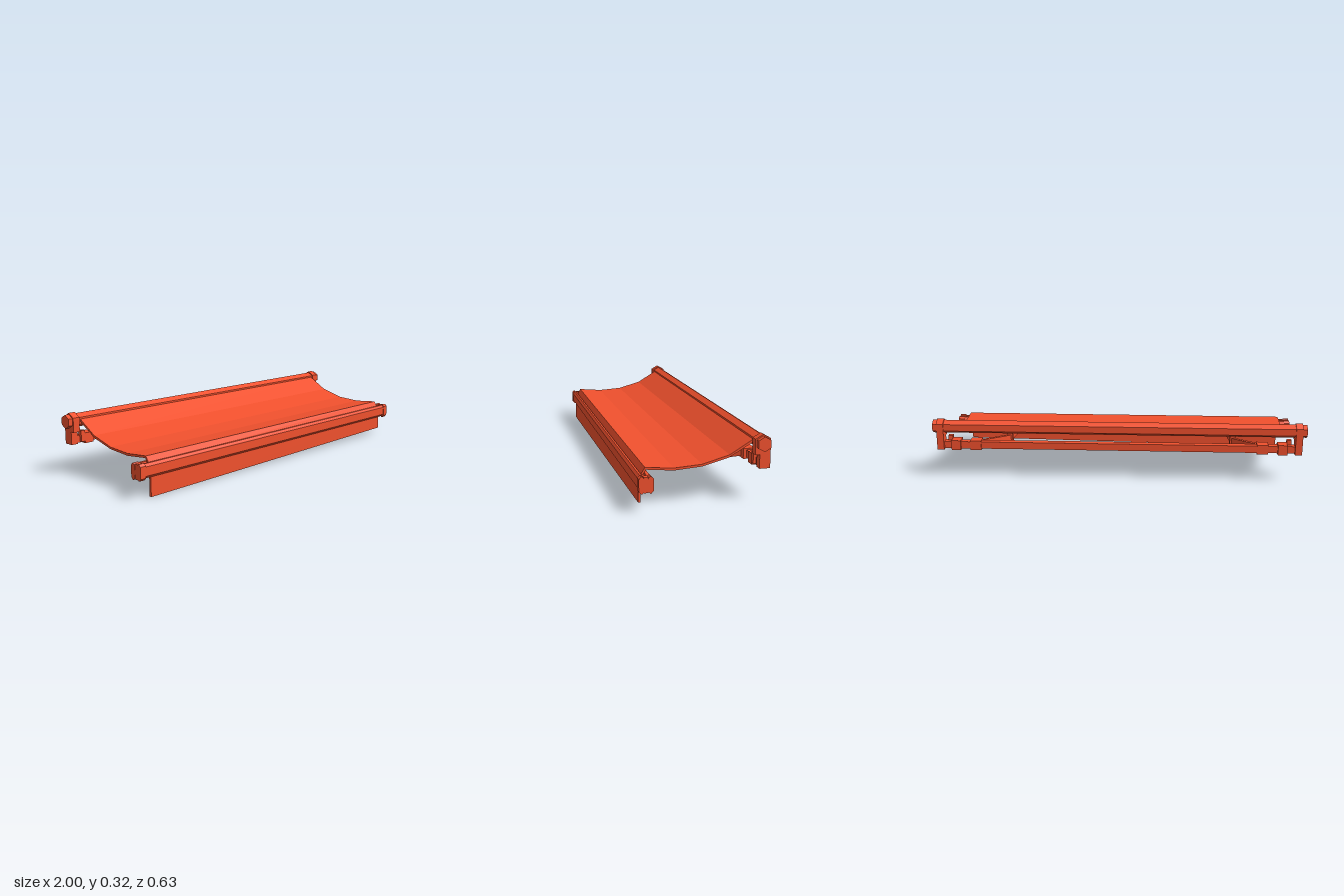
import * as THREE from 'three';

const material = new THREE.MeshStandardMaterial({ color: 0xf0502d, flatShading: true });

// Extrudes a [z, y] outline along x between x0 and x1
function profile(name, points, x0, x1) {
  const shape = new THREE.Shape(points.map(([z, y]) => new THREE.Vector2(-z, y)));
  const geometry = new THREE.ExtrudeGeometry(shape, { depth: x1 - x0, bevelEnabled: false });
  geometry.rotateY(Math.PI / 2).translate(x0, 0, 0);
  const mesh = new THREE.Mesh(geometry, material);
  mesh.name = name;
  return mesh;
}

// Box given by its minimum and maximum corners
function block(name, [x0, y0, z0], [x1, y1, z1]) {
  const geometry = new THREE.BoxGeometry(x1 - x0, y1 - y0, z1 - z0);
  geometry.translate((x0 + x1) / 2, (y0 + y1) / 2, (z0 + z1) / 2);
  const mesh = new THREE.Mesh(geometry, material);
  mesh.name = name;
  return mesh;
}

// Rectangular bar running from point a to point b
function beam(name, a, b, width, height) {
  const start = new THREE.Vector3(...a), end = new THREE.Vector3(...b);
  const mesh = new THREE.Mesh(new THREE.BoxGeometry(width, height, start.distanceTo(end)), material);
  mesh.position.copy(start).lerp(end, 0.5);
  mesh.lookAt(end);
  mesh.name = name;
  return mesh;
}

// Rectangle in z, y with cut corners
function chamfered(z0, z1, y0, y1, c) {
  return [[z0 + c, y0], [z1 - c, y0], [z1, y0 + c], [z1, y1 - c],
    [z1 - c, y1], [z0 + c, y1], [z0, y1 - c], [z0, y0 + c]];
}

export function createModel() {
  const model = new THREE.Group();
  model.name = 'awning';

  // Hexagonal roller tube
  const hexagon = [];
  for (let i = 0; i < 6; i++) {
    const a = (i + 0.5) * Math.PI / 3;
    hexagon.push([-0.278 + 0.036 * Math.cos(a), 0.282 + 0.036 * Math.sin(a)]);
  }
  model.add(profile('rollerTube', hexagon, -1, 1));

  // Sagging canopy with a small thickness, tucked into the front rail
  const top = [[-0.278, 0.308], [-0.24, 0.287], [-0.133, 0.224], [0, 0.188],
    [0.135, 0.18], [0.272, 0.193], [0.292, 0.16]];
  const under = [[0.28, 0.16], [0.267, 0.182], [0.135, 0.168],
    [0, 0.177], [-0.13, 0.211], [-0.238, 0.272], [-0.278, 0.294]];
  model.add(profile('canopy', [...top, ...under].reverse(), -0.93, 0.93));

  // Front rail with a groove on top and bottom
  model.add(profile('frontRail', [
    [0.258, 0.098], [0.275, 0.098], [0.277, 0.105], [0.29, 0.105], [0.292, 0.098], [0.304, 0.098],
    [0.314, 0.11], [0.314, 0.155], [0.304, 0.168], [0.294, 0.168], [0.292, 0.16], [0.276, 0.16],
    [0.274, 0.168], [0.258, 0.168], [0.25, 0.155], [0.25, 0.11],
  ], -0.97, 0.97));

  // Valance, hanging slightly lower at one end
  const valance = block('valance', [-0.93, 0, 0.292], [0.93, 0.105, 0.304]);
  const p = valance.geometry.attributes.position;
  for (let i = 0; i < p.count; i++) if (p.getY(i) < 0.05 && p.getX(i) > 0) p.setY(i, 0.028);
  valance.geometry.computeVertexNormals();
  model.add(valance);

  // Torsion bar below the roller
  model.add(block('torsionBar', [-0.95, 0.165, -0.303], [0.95, 0.203, -0.266]));

  // Parts at each end
  const bracket = [[-0.316, 0.16], [-0.263, 0.16], [-0.263, 0.228], [-0.24, 0.228],
    [-0.24, 0.303], [-0.278, 0.325], [-0.316, 0.303]];
  for (const side of [-1, 1]) {
    const span = (a, b) => side > 0 ? [a, b] : [-b, -a];
    const box = (name, [a, b], [y0, y1], [z0, z1]) => {
      const [x0, x1] = span(a, b);
      model.add(block(name, [x0, y0, z0], [x1, y1, z1]));
    };

    model.add(profile('endBracket', bracket, ...span(0.94, 0.977)));

    // Two-lobed rail end cap with a narrow web between the lobes
    model.add(profile('railCapFront', chamfered(0.29, 0.317, 0.09, 0.172, 0.012), ...span(0.968, 1)));
    model.add(profile('railCapRear', chamfered(0.248, 0.275, 0.09, 0.172, 0.012), ...span(0.968, 1)));
    box('railCapWeb', [0.968, 0.998], [0.094, 0.168], [0.272, 0.293]);

    // Wall clamp and shoulder holding the arm
    box('wallClamp', [0.85, 0.9], [0.158, 0.212], [-0.315, -0.255]);
    box('shoulder', [0.74, 0.8], [0.158, 0.21], [-0.308, -0.25]);
    box('shoulderTab', [0.9, 0.925], [0.17, 0.228], [-0.275, -0.252]);

    // Folding arm with elbow and front clamp
    const front = [side * 0.61, 0.133, 0.25];
    const elbow = [side * 0.64, 0.128, 0.006];
    const back = [side * 0.765, 0.184, -0.265];
    model.add(beam('forearm', front, elbow, 0.022, 0.031));
    model.add(beam('upperArm', elbow, back, 0.022, 0.031));
    box('elbow', [0.624, 0.656], [0.097, 0.157], [-0.007, 0.019]);
    box('armClamp', [0.592, 0.628], [0.113, 0.155], [0.232, 0.256]);
  }
  return model;
}
